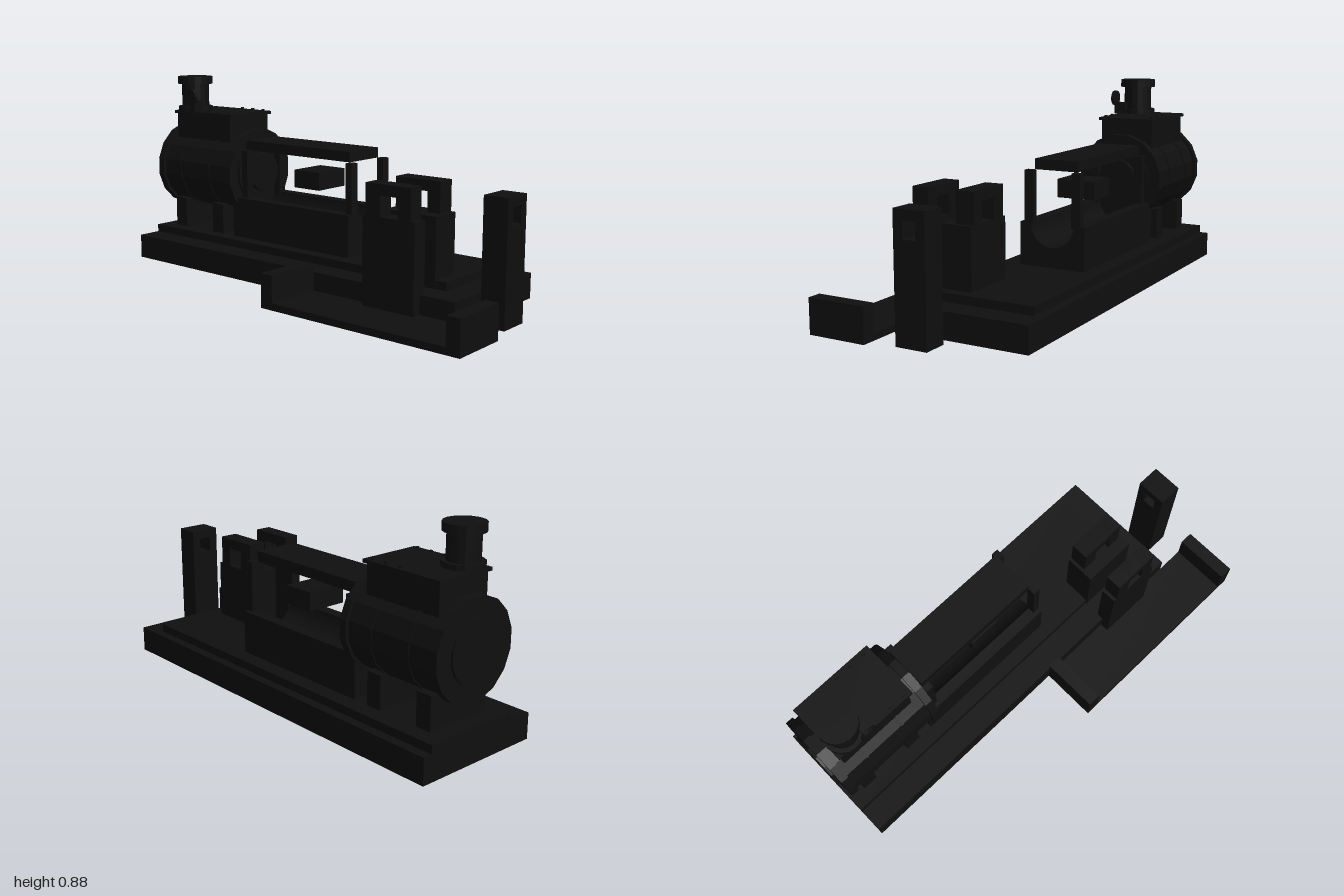
import * as THREE from 'three';

export function createModel() {
  const model = new THREE.Group();
  model.name = 'steamEngine';
  const iron = new THREE.MeshStandardMaterial({ color: 0x0f0f0f, flatShading: true });
  iron.name = 'blackIron';

  const add = (name, geometry) => {
    const mesh = new THREE.Mesh(geometry, iron);
    mesh.name = name;
    model.add(mesh);
    return mesh;
  };
  // Box given by its limits on each axis
  const box = (name, x0, x1, y0, y1, z0, z1) =>
    add(name, new THREE.BoxGeometry(x1 - x0, y1 - y0, z1 - z0))
      .position.set((x0 + x1) / 2, (y0 + y1) / 2, (z0 + z1) / 2);
  // Sixteen-sided drum lying along x on the engine axis
  const AXIS_Y = 0.4375, AXIS_Z = -0.16;
  const drum = (name, x0, x1, r) => {
    const g = new THREE.CylinderGeometry(r, r, x1 - x0, 16);
    g.rotateY(Math.PI / 16);
    g.rotateZ(Math.PI / 2);
    add(name, g).position.set((x0 + x1) / 2, AXIS_Y, AXIS_Z);
  };
  // Upright cylinder
  const upright = (name, x, z, y0, y1, r, sides = 16) =>
    add(name, new THREE.CylinderGeometry(r, r, y1 - y0, sides)).position.set(x, (y0 + y1) / 2, z);

  // Foundation and side tray
  box('foundation', -1, 0.81, 0, 0.11, -0.42, 0.16);
  box('foundationStep', -1, 0.7, 0.11, 0.145, -0.38, 0.05);
  box('trayFloor', 0.05, 1, 0, 0.03, 0.16, 0.415);
  box('trayEndRight', 0.05, 0.11, 0.03, 0.145, 0.16, 0.415);
  box('trayEndLeft', 0.94, 1, 0.03, 0.145, 0.16, 0.415);

  // Bed with a rounded trough for the crosshead
  const bed = new THREE.Shape();
  bed.moveTo(-0.15, 0.145);
  bed.lineTo(0.15, 0.145);
  bed.lineTo(0.15, 0.33);
  bed.lineTo(0.1, 0.33);
  bed.absarc(0, 0.33, 0.1, 0, -Math.PI, true);
  bed.lineTo(-0.15, 0.33);
  const bedGeometry = new THREE.ExtrudeGeometry(bed, { depth: 0.69, bevelEnabled: false, curveSegments: 10 });
  bedGeometry.rotateY(Math.PI / 2);
  add('bed', bedGeometry).position.set(-0.53, 0, AXIS_Z);

  // Crosshead guide: beam on four posts
  box('guideBeam', -0.49, 0.125, 0.55, 0.595, -0.26, -0.06);
  for (const x of [-0.49, 0.128])
    for (const z of [-0.29, -0.07]) box('guidePost', x, x + 0.033, 0.32, 0.55, z, z + 0.04);
  box('crosshead', -0.2, -0.055, 0.405, 0.485, -0.25, -0.07);

  // Cylinder drum, bands and covers
  drum('cylinder', -0.98, -0.51, 0.192);
  for (const x of [-0.99, -0.535]) drum('cylinderFlange', x, x + 0.035, 0.204);
  for (const x of [-0.85, -0.66]) drum('cylinderBand', x, x + 0.012, 0.196);
  drum('rearCover', -1, -0.97, 0.13);
  drum('frontCover', -0.52, -0.49, 0.15);
  drum('glandCover', -0.5, -0.465, 0.09);
  for (const x of [-0.95, -0.75, -0.545]) upright('drainPlug', x, AXIS_Z, 0.235, 0.28, 0.015, 8);
  for (const x of [-0.925, -0.67]) box('cylinderFoot', x, x + 0.07, 0.145, 0.285, -0.31, -0.01);

  // Steam chest with bolted lid
  box('steamChest', -0.93, -0.57, 0.5, 0.7, -0.29, -0.035);
  box('steamChestLid', -0.94, -0.555, 0.696, 0.71, -0.3, -0.025);
  for (const x of [-0.73, -0.66, -0.59])
    for (const z of [-0.28, -0.045]) upright('lidBolt', x, z, 0.7, 0.718, 0.008, 6);

  // Steam pipe and its valve wheel
  const PX = -0.86, PZ = -0.09;
  upright('pipeFoot', PX, PZ, 0.705, 0.732, 0.083);
  upright('steamPipe', PX, PZ, 0.73, 0.85, 0.065);
  upright('pipeFlange', PX, PZ, 0.84, 0.875, 0.083);
  const wheel = new THREE.CylinderGeometry(0.036, 0.036, 0.016, 12);
  wheel.rotateX(Math.PI / 2);
  add('valveWheel', wheel).position.set(-0.793, 0.785, 0);
  box('valveBracket', -0.81, -0.776, 0.71, 0.765, -0.06, -0.003);

  // Bearing pedestals: block topped by an open square frame
  const pedestal = (bottom, z0, z1, blockFront) => {
    box('pedestalBlock', 0.4, 0.65, bottom, 0.4, z0, blockFront);
    box('pedestalCheek', 0.415, 0.485, 0.4, 0.53, z0, z1);
    box('pedestalCheek', 0.57, 0.63, 0.4, 0.53, z0, z1);
    box('pedestalCap', 0.485, 0.57, 0.485, 0.53, z0, z1);
  };
  pedestal(0.11, -0.08, 0, 0.055);
  pedestal(0.02, 0.128, 0.2, 0.2);

  // Free-standing post with an open head
  box('outerPost', 0.855, 0.96, 0, 0.4, -0.09, 0.047);
  for (const z of [-0.09, 0.007]) box('outerPostCheek', 0.855, 0.96, 0.4, 0.47, z, z + 0.04);
  box('outerPostCap', 0.855, 0.96, 0.47, 0.51, -0.09, 0.047);

  return model;
}
